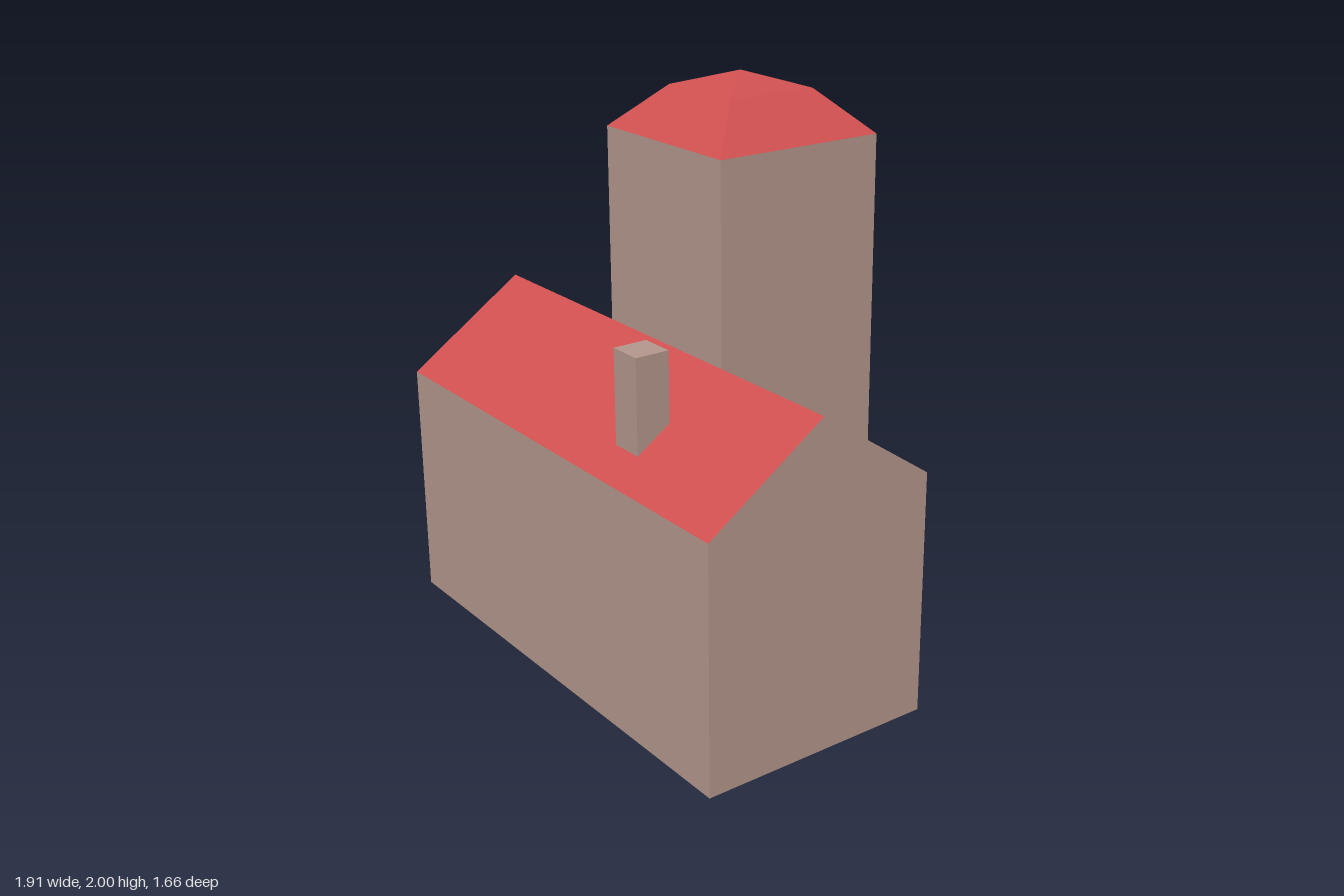
import * as THREE from 'three';

const material = (name, color) => {
  const m = new THREE.MeshStandardMaterial({ color });
  m.name = name;
  return m;
};

// Flat-shaded mesh from convex polygons, corners counter-clockwise from outside
function faces(name, mat, polygons) {
  const pos = [];
  for (const p of polygons)
    for (let i = 1; i < p.length - 1; i++) pos.push(...p[0], ...p[i], ...p[i + 1]);
  const geo = new THREE.BufferGeometry();
  geo.setAttribute('position', new THREE.Float32BufferAttribute(pos, 3));
  geo.computeVertexNormals();
  const mesh = new THREE.Mesh(geo, mat);
  mesh.name = name;
  return mesh;
}

// Square ring of corners, counter-clockwise from above
const ring = (cx, cz, r, y) =>
  [[-1, 1], [1, 1], [1, -1], [-1, -1]].map(([sx, sz]) => [cx + sx * r, y, cz + sz * r]);

// Four side faces joining two rings
const sides = (low, high) =>
  low.map((p, i) => [p, low[(i + 1) % 4], high[(i + 1) % 4], high[i]]);

export function createModel() {
  const stone = material('stone', 0xb4988d);
  const roofRed = material('roofRed', 0xd05050);
  const grass = material('grass', 0x73983a);
  const model = new THREE.Group();
  model.name = 'churchBuilding';

  // Hall: long gabled block with its ridge along x
  const hall = new THREE.Group();
  hall.name = 'hall';
  const x0 = -0.957, x1 = 0.957, front = 0.832, back = -0.077;
  const mid = (front + back) / 2, eave = 0.91, ridge = 1.22;
  const gable = [[0, front], [0, back], [eave, back], [ridge, mid], [eave, front]];
  const at = (x, k) => [x, ...gable[k]];
  const strip = (a, b) => [at(x0, a), at(x1, a), at(x1, b), at(x0, b)];
  hall.add(
    faces('hallWalls', stone, [
      strip(0, 4), strip(2, 1),
      gable.map((_, k) => at(x1, k)),
      gable.map((_, k) => at(x0, k)).reverse(),
    ]),
    faces('hallRoof', roofRed, [strip(4, 3), strip(3, 2)]),
    faces('hallFloor', grass, [strip(1, 0)]),
  );

  // Chimney on the front slope
  const chimney = new THREE.Mesh(new THREE.BoxGeometry(0.13, 0.35, 0.13), stone);
  chimney.name = 'chimney';
  chimney.position.set(0.347, 1.157, 0.656);
  hall.add(chimney);

  // Tower: square shaft with a two-pitch roof
  const tower = new THREE.Group();
  tower.name = 'tower';
  const tx = -0.571, tz = -0.451;
  const base = ring(tx, tz, 0.381, 0);
  const top = ring(tx, tz, 0.381, 1.762);
  const kink = ring(tx, tz, 0.201, 1.936);
  const apex = [tx, 2, tz];
  tower.add(
    faces('towerWalls', stone, sides(base, top)),
    faces('towerRoofLower', roofRed, sides(top, kink)),
    faces('towerRoofCap', roofRed, kink.map((p, i) => [p, kink[(i + 1) % 4], apex])),
    faces('towerFloor', grass, [[...base].reverse()]),
  );

  model.add(hall, tower);
  return model;
}
